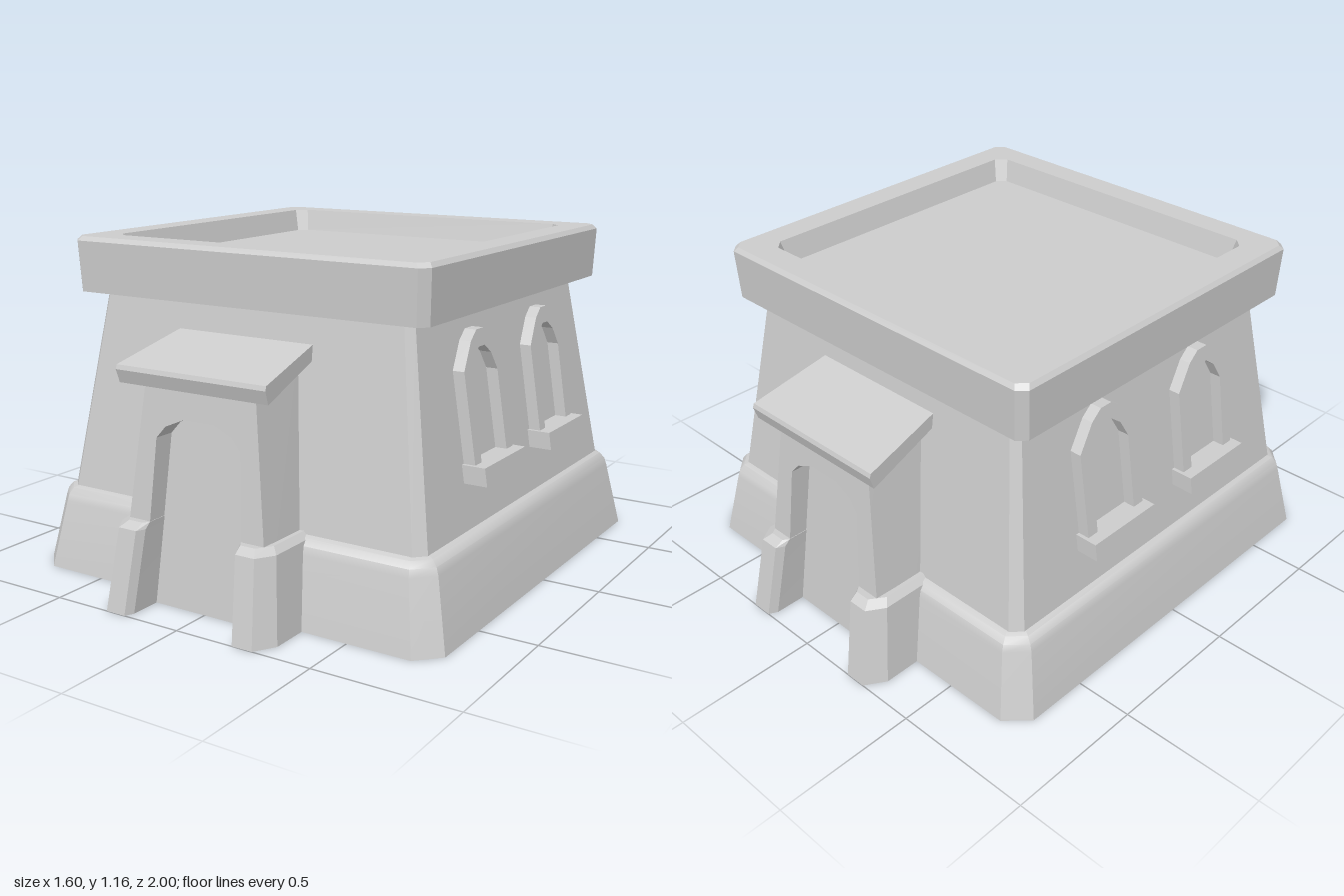
import * as THREE from 'three';
import { toCreasedNormals } from 'three/addons/utils/BufferGeometryUtils.js';

const stone = new THREE.MeshStandardMaterial({ color: 0xcccccc, side: THREE.DoubleSide });
stone.name = 'stone';

function part(name, geometry, crease = 0.3) {
  const mesh = new THREE.Mesh(toCreasedNormals(geometry, crease), stone);
  mesh.name = name;
  return mesh;
}

// Chamfered rectangle at height y
function rectRing(hx, hz, c, y) {
  return [
    [hx, hz - c], [hx, c - hz], [hx - c, -hz], [c - hx, -hz],
    [-hx, c - hz], [-hx, hz - c], [c - hx, hz], [hx - c, hz],
  ].map(([x, z]) => [x, y, z]);
}

// Skin a stack of rings, optionally closing the top
function loft(rings, cap) {
  const pos = [];
  const n = rings[0].length;
  for (let r = 0; r < rings.length - 1; r++) {
    for (let i = 0; i < n; i++) {
      const j = (i + 1) % n;
      const a = rings[r][i], b = rings[r][j], c = rings[r + 1][j], d = rings[r + 1][i];
      pos.push(...a, ...b, ...c, ...a, ...c, ...d);
    }
  }
  if (cap) {
    const top = rings[rings.length - 1];
    const mid = [0, 1, 2].map((k) => top.reduce((s, p) => s + p[k], 0) / n);
    for (let i = 0; i < n; i++) pos.push(...mid, ...top[i], ...top[(i + 1) % n]);
  }
  const g = new THREE.BufferGeometry();
  g.setAttribute('position', new THREE.Float32BufferAttribute(pos, 3));
  return g;
}

// Move every vertex by a rule
function warp(g, rule) {
  const p = g.attributes.position;
  for (let i = 0; i < p.count; i++) p.setXYZ(i, ...rule(p.getX(i), p.getY(i), p.getZ(i)));
  return g;
}

// Symmetric outline from its right half, listed from bottom to top
function mirrored(half) {
  const left = half.filter(([x]) => x > 0).map(([x, y]) => [-x, y]).reverse();
  return [...half, ...left].map(([x, y]) => new THREE.Vector2(x, y));
}

const extrude = (shape, depth) => new THREE.ExtrudeGeometry(shape, { depth, bevelEnabled: false });
const wallX = (y) => 0.71 - 0.154 * (y - 0.29);
const doorHalf = [[0.2, 0], [0.165, 0.57], [0.13, 0.61], [0.06, 0.64]];

function createPorch() {
  const porch = new THREE.Group();
  porch.name = 'porch';

  // Leaning surround with an arched opening
  const outline = [
    ...[[0.3, 0], [0.215, 0.75], [-0.215, 0.75], [-0.3, 0]].map((p) => new THREE.Vector2(...p)),
    ...mirrored(doorHalf).reverse(),
  ];
  const surround = warp(extrude(new THREE.Shape(outline), 1), (x, y, z) =>
    z > 0.5 ? [x, y, 0.925 - 0.093 * y] : [x, y > 0.7 ? 0.81 : y, 0.62]);
  porch.add(part('doorSurround', surround));

  // Door panel set back in the opening
  const door = new THREE.ShapeGeometry(new THREE.Shape(mirrored(doorHalf)));
  porch.add(part('door', warp(door, (x, y) => [x, y, 0.86 - 0.11 * y])));

  // Sloping canopy, wider at the front
  const slab = new THREE.Shape([[0.6, 0.83], [0.895, 0.74], [0.91, 0.785], [0.905, 0.8], [0.6, 0.878]]
    .map((p) => new THREE.Vector2(...p)));
  const canopy = extrude(slab, 2).translate(0, 0, -1).rotateY(-Math.PI / 2);
  porch.add(part('canopy', warp(canopy, (x, y, z) => [x * (0.265 + 0.09 * (z - 0.63)), y, z])));

  // Flared feet on each side of the door
  const foot = [
    [[0.335, 0.93], [0.335, 0.7], [0.2, 0.7], [0.2, 0.97], [0.215, 1], [0.29, 1]],
    [[0.307, 0.89], [0.307, 0.65], [0.182, 0.65], [0.182, 0.92], [0.197, 0.95], [0.268, 0.95]],
    [[0.285, 0.87], [0.285, 0.64], [0.18, 0.64], [0.18, 0.9], [0.195, 0.92], [0.25, 0.92]],
  ];
  const heights = [0, 0.275, 0.295];
  for (const side of [1, -1]) {
    const rings = foot.map((ring, i) => {
      const pts = ring.map(([x, z]) => [x * side, heights[i], z]);
      return side > 0 ? pts : pts.reverse();
    });
    porch.add(part('porchFoot', loft(rings, true)));
  }
  return porch;
}

function createWindow(z0) {
  const win = new THREE.Group();
  win.name = 'window';

  // Pointed frame following the slope of the wall
  const shape = new THREE.Shape(mirrored([[0.137, 0.45], [0.137, 0.79], [0.07, 0.875], [0.025, 0.905]]));
  shape.holes.push(new THREE.Path(mirrored([[0.092, 0.46], [0.092, 0.76], [0.06, 0.82], [0.02, 0.85]]).reverse()));
  const onWall = (x, y, z) => [wallX(y) + x, y, z + z0];
  const frame = extrude(shape, 0.055).translate(0, 0, -0.015).rotateY(Math.PI / 2);
  win.add(part('windowFrame', warp(frame, onWall)));

  const sill = new THREE.BoxGeometry(0.1, 0.06, 0.3).translate(0.03, 0.465, 0);
  win.add(part('windowSill', warp(sill, onWall)));
  return win;
}

export function createModel() {
  const model = new THREE.Group();
  model.name = 'house';

  // Flared plinth with a rounded shoulder
  const plinth = [[0.8, 0.075, 0], [0.753, 0.065, 0.235], [0.745, 0.06, 0.26], [0.728, 0.05, 0.28], [0.695, 0.035, 0.29]];
  model.add(part('plinth', loft(plinth.map(([h, c, y]) => rectRing(h, h, c, y))), 0.62));

  // Tapering walls
  model.add(part('walls', loft([rectRing(0.71, 0.71, 0.035, 0.285), rectRing(0.604, 0.604, 0.025, 0.975)])));

  // Parapet with a sunken flat roof
  const parapet = [
    rectRing(0.595, 0.595, 0.025, 0.97), rectRing(0.683, 0.662, 0.03, 0.97),
    rectRing(0.69, 0.67, 0.03, 1.145), rectRing(0.678, 0.658, 0.03, 1.16),
    rectRing(0.582, 0.565, 0.035, 1.16), rectRing(0.56, 0.543, 0.03, 1.08),
  ];
  model.add(part('parapetRoof', loft(parapet, true)));

  // Porch and windows, repeated on the opposite sides
  for (const turn of [0, Math.PI]) {
    const half = new THREE.Group();
    half.name = turn ? 'backAndRightDetails' : 'frontAndLeftDetails';
    half.add(createPorch(), createWindow(0.25), createWindow(-0.25));
    half.rotation.y = turn;
    model.add(half);
  }
  return model;
}
